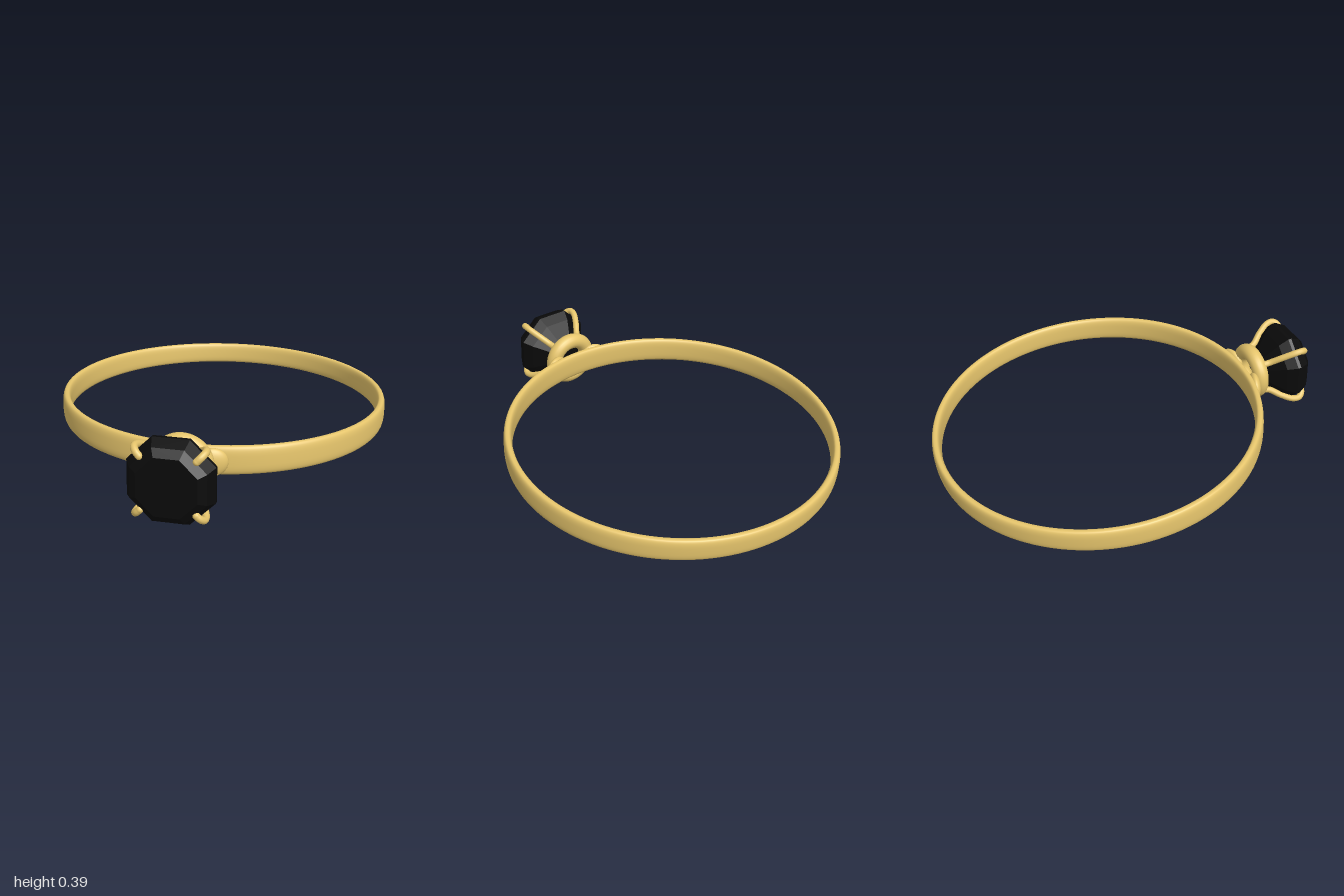
import * as THREE from 'three';
import { ConvexGeometry } from 'three/addons/geometries/ConvexGeometry.js';

const gold = new THREE.MeshStandardMaterial({ color: 0xe6c56c });
const black = new THREE.MeshStandardMaterial({ color: 0x0a0a0a, flatShading: true });

function addMesh(parent, name, geometry, material) {
  const mesh = new THREE.Mesh(geometry, material);
  mesh.name = name;
  parent.add(mesh);
  return mesh;
}

// Band: softened rectangular section, slightly taller towards the setting
function bandGeometry() {
  const soft = (v) => Math.sign(v) * Math.abs(v) ** 0.68;
  const profile = [];
  for (let i = 0; i <= 32; i++) {
    const a = -Math.PI * 0.75 + (i / 32) * Math.PI * 2;
    profile.push(new THREE.Vector2(0.822 + 0.021 * soft(Math.cos(a)), 0.063 * soft(Math.sin(a))));
  }
  const geometry = new THREE.LatheGeometry(profile, 128);
  const p = geometry.attributes.position;
  for (let i = 0; i < p.count; i++) p.setY(i, p.getY(i) * (1 + 0.12 * p.getZ(i)));
  return geometry;
}

// Gem: stacked square outlines with cut corners, [depth, half width]
function gemGeometry() {
  const levels = [[0.085, 0.135], [0.058, 0.17], [0.005, 0.197], [-0.012, 0.197], [-0.06, 0.165], [-0.15, 0.065]];
  const points = [];
  for (const [z, h] of levels) {
    const c = h * 0.42;
    for (const sx of [-1, 1]) for (const sy of [-1, 1]) {
      points.push(new THREE.Vector3(sx * h, sy * c, z), new THREE.Vector3(sx * c, sy * h, z));
    }
  }
  return new ConvexGeometry(points);
}

// Prong: rises from the collar, hugs the gem and hooks over its cut corner
function prongGeometry(sx, sy) {
  const path = [[0.085, 0.9], [0.09, 0.95], [0.125, 1.01], [0.152, 1.07], [0.154, 1.105], [0.14, 1.127], [0.124, 1.132]];
  const curve = new THREE.CatmullRomCurve3(path.map(([d, z]) => new THREE.Vector3(sx * d, sy * d, z)));
  return new THREE.TubeGeometry(curve, 32, 0.017, 12);
}

export function createModel() {
  const model = new THREE.Group();
  model.name = 'ring';

  // Everything leans slightly, with the setting raised
  const body = new THREE.Group();
  body.name = 'tiltedRing';
  body.position.set(0, 0.125, -0.158);
  body.rotation.x = -0.068;
  model.add(body);

  addMesh(body, 'band', bandGeometry(), gold);

  // Setting: rounded collar with shoulders blending into the band
  const collar = addMesh(body, 'collar', new THREE.TorusGeometry(0.107, 0.041, 20, 56), gold);
  collar.position.z = 0.892;
  for (const side of [-1, 1]) {
    const shoulder = addMesh(body, 'shoulder', new THREE.SphereGeometry(1, 24, 16), gold);
    shoulder.scale.set(0.075, 0.068, 0.03);
    shoulder.position.set(side * 0.125, 0, 0.843);
    shoulder.rotation.y = side * 0.3;
  }

  const gem = addMesh(body, 'gem', gemGeometry(), black);
  gem.position.z = 1.075;

  for (const sx of [-1, 1]) for (const sy of [-1, 1]) {
    addMesh(body, 'prong', prongGeometry(sx, sy), gold);
    const tip = addMesh(body, 'prongTip', new THREE.SphereGeometry(0.017, 12, 10), gold);
    tip.position.set(sx * 0.124, sy * 0.124, 1.132);
  }
  return model;
}
